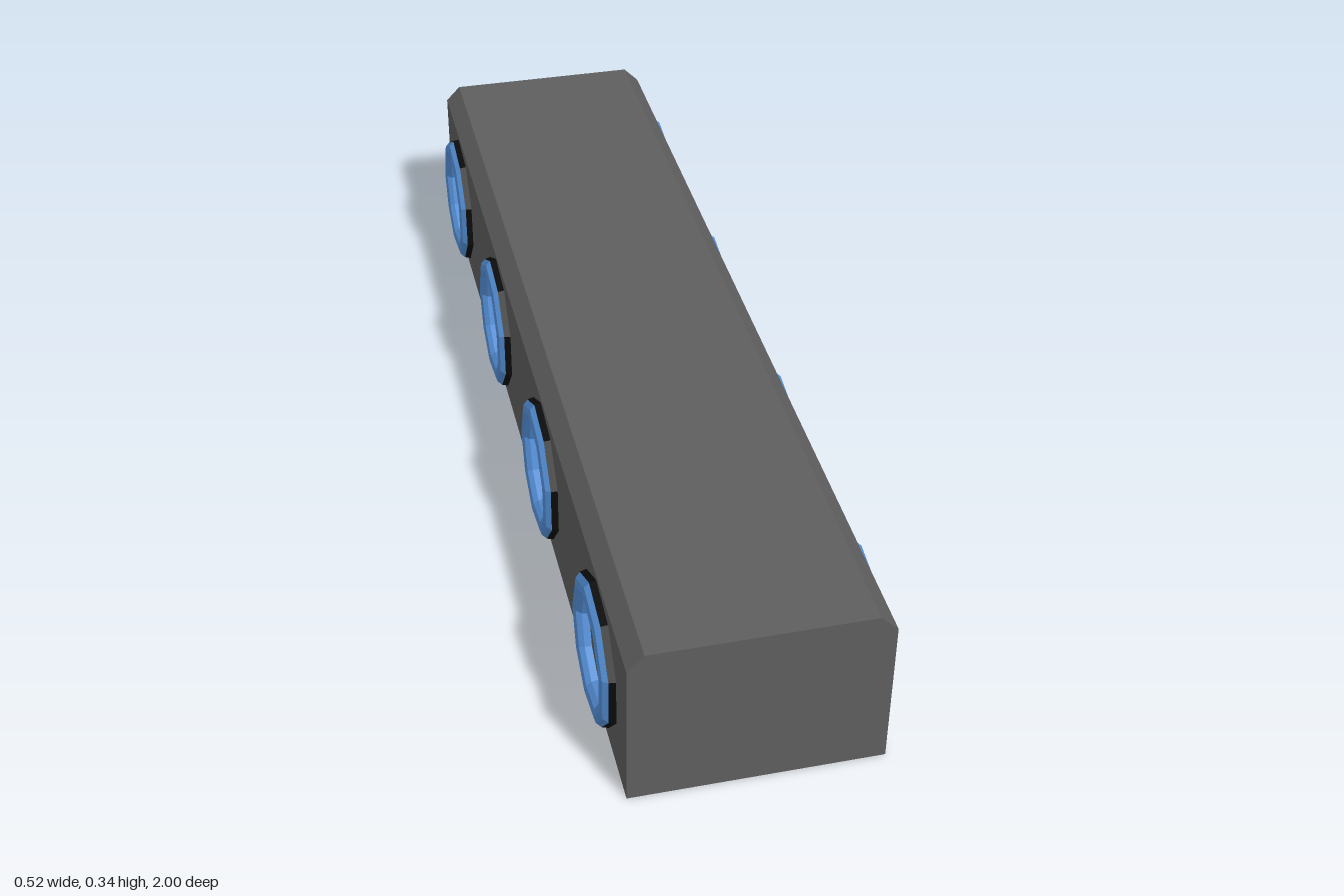
import * as THREE from 'three';

const bodyMat = new THREE.MeshStandardMaterial({ color: 0x5e5e5e });
const blackMat = new THREE.MeshStandardMaterial({ color: 0x0c0c0c, flatShading: true, side: THREE.DoubleSide });
const blueMat = new THREE.MeshStandardMaterial({ color: 0x5590d8, flatShading: true, side: THREE.DoubleSide });

const RING = 0.12, TUBE = 0.026, SIDES = 9;

// Nine-sided slice of a round ring section, from step a to step b of 30 degrees
function ringBand(name, a, b, mat, side) {
  const pts = [];
  for (let i = a; i <= b; i++) {
    const t = (i * Math.PI) / 6;
    pts.push(new THREE.Vector2(RING + TUBE * Math.cos(t), TUBE * Math.sin(t)));
  }
  const geo = new THREE.LatheGeometry(pts, SIDES, Math.PI);
  geo.rotateZ((-side * Math.PI) / 2);
  const mesh = new THREE.Mesh(geo, mat);
  mesh.name = name;
  return mesh;
}

export function createModel() {
  const model = new THREE.Group();
  model.name = 'ringedBar';

  // Long bar with chamfered top edges
  const section = new THREE.Shape([
    [-0.233, 0], [0.241, 0], [0.241, 0.307], [0.209, 0.339], [-0.202, 0.339], [-0.233, 0.307],
  ].map(([x, y]) => new THREE.Vector2(x, y)));
  const bodyGeo = new THREE.ExtrudeGeometry(section, { depth: 2, bevelEnabled: false });
  bodyGeo.translate(0, 0, -1);
  const body = new THREE.Mesh(bodyGeo, bodyMat);
  body.name = 'body';
  model.add(body);

  // Four rings along each long side: black base and blue face
  for (const side of [1, -1]) {
    for (let i = 0; i < 4; i++) {
      const ring = new THREE.Group();
      ring.name = (side > 0 ? 'leftRing' : 'rightRing') + (i + 1);
      ring.add(ringBand('ringBase', 0, 1, blackMat, side));
      ring.add(ringBand('ringFace', 1, 6, blueMat, side));
      ring.position.set(side > 0 ? 0.232 : -0.233, 0.154, 0.782 - i * 0.525);
      model.add(ring);
    }
  }
  return model;
}
